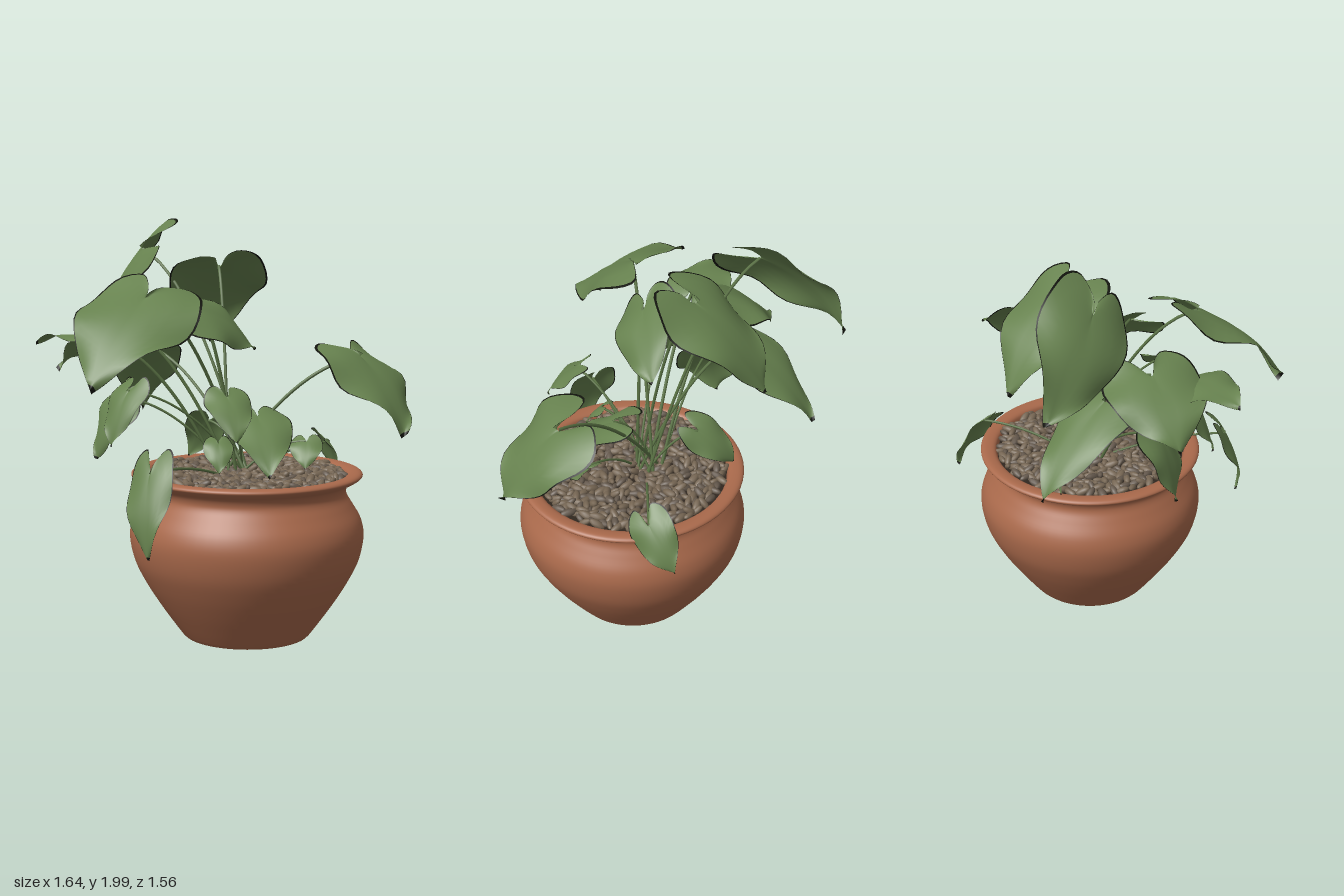
import * as THREE from 'three';
import { mergeGeometries, mergeVertices } from 'three/addons/utils/BufferGeometryUtils.js';

const CX = 0.105, CZ = 0.22; // pot axis
const vec2 = ([x, y]) => new THREE.Vector2(x, y);

function seeded(seed) {
  let s = seed;
  return () => {
    s = (s * 16807) % 2147483647;
    return s / 2147483647;
  };
}

// Half outline of a heart-shaped leaf: x across (0..1), y along (stalk 0, tip 1)
const outline = new THREE.SplineCurve([
  [0.03, 0], [0.14, -0.17], [0.42, -0.31], [0.78, -0.2], [0.99, 0.06],
  [0.92, 0.36], [0.62, 0.64], [0.26, 0.86], [0, 1],
].map(vec2));

// Blade: grid ruled from the midrib out to the outline, then arched and waved.
// Its width lies level unless rolled about the midrib. Group 1 is the dry margin.
function leafGeometry(at, tip, half, roll, phase) {
  const T = tip.clone().sub(at), len = T.length();
  T.normalize();
  const L = new THREE.Vector3(T.z, 0, -T.x).normalize().applyAxisAngle(T, roll);
  const N = new THREE.Vector3().crossVectors(T, L);
  const rows = 26, cols = 6, pos = [], blade = [], margin = [];
  for (let k = 0; k <= rows; k++) {
    const mid = k / rows, o = outline.getPoint(mid);
    for (let j = -cols; j <= cols; j++) {
      const f = Math.abs(j) === cols ? 1 : Math.abs(j) / (cols - 1) * 0.97;
      const s = Math.sign(j) * f * o.x, t = mid + (o.y - mid) * f;
      const h = len * 0.35 * t * (1 - t) + half * (0.1 * Math.abs(s) - 0.3 * s * s
        + 0.1 * f * f * Math.sin(9 * t + phase + (j < 0 ? 2 : 0)));
      const p = at.clone().addScaledVector(T, t * len)
        .addScaledVector(L, s * half).addScaledVector(N, h);
      pos.push(p.x, p.y, p.z);
    }
  }
  const w = cols * 2 + 1;
  for (let k = 0; k < rows; k++) {
    for (let j = 0; j < w - 1; j++) {
      const a = k * w + j, b = a + w;
      const outer = j === 0 || j === w - 2 || k === rows - 1;
      (outer ? margin : blade).push(a, b, a + 1, a + 1, b, b + 1);
    }
  }
  const g = new THREE.BufferGeometry();
  g.setAttribute('position', new THREE.Float32BufferAttribute(pos, 3));
  g.setIndex([...blade, ...margin]);
  g.addGroup(0, blade.length, 0);
  g.addGroup(blade.length, margin.length, 1);
  g.computeVertexNormals();
  return g;
}

// Each leaf: stalk point, tip, half width, roll
const tallLeaves = [
  [[-0.19, 1.84, -0.36], [-0.165, 1.48, -0.775], 0.23, -0.92],
  [[0.1, 1.76, -0.09], [0.21, 1.37, -0.43], 0.24],
  [[-0.4, 1.5, -0.18], [-0.63, 1.25, -0.38], 0.24, 0.06],
  [[-0.21, 1.37, -0.28], [-0.08, 1.0, -0.65], 0.18],
  [[-0.53, 1.43, -0.02], [-0.82, 1.42, -0.15], 0.16, 0.1],
  [[-0.43, 1.64, 0.27], [-0.79, 1.26, 0.5], 0.28, -0.25],
  [[-0.13, 1.57, 0.18], [0.2, 1.36, 0.1], 0.18, 0.7],
  [[0.57, 1.35, 0.48], [0.66, 1.0, 0.74], 0.26, -0.12],
];
const lowLeaves = [
  [[0.63, 0.88, 0.07], [0.72, 0.67, -0.06], 0.11, 0.95],
  [[-0.51, 0.87, 0.5], [-0.56, 0.5, 0.59], 0.12, 0.5],
  [[-0.41, 1.14, -0.1], [-0.52, 0.84, -0.15], 0.16, -0.49],
  [[-0.47, 1.2, 0.14], [-0.57, 0.95, 0.18], 0.11],
  [[0.12, 1.07, 0.3], [0.06, 0.82, 0.56], 0.16],
  [[-0.14, 1.2, 0.52], [-0.16, 1.01, 0.67], 0.11],
  [[0.33, 0.95, 0.4], [0.28, 0.83, 0.48], 0.08],
  [[-0.13, 0.97, 0.4], [-0.16, 0.84, 0.48], 0.07],
  [[0.05, 1.0, -0.1], [0.02, 0.8, -0.28], 0.1, 0.8],
];

export function createModel() {
  const root = new THREE.Group();
  root.name = 'pottedPlant';
  const mat = (name, color, side = THREE.FrontSide) => {
    const m = new THREE.MeshStandardMaterial({ color, side });
    m.name = name;
    return m;
  };
  const terracotta = mat('terracotta', 0xa9694b, THREE.DoubleSide);
  const leafGreen = mat('leafGreen', 0x67824f, THREE.DoubleSide);
  const dryMargin = mat('dryMargin', 0x12140d, THREE.DoubleSide);
  const stemGreen = mat('stemGreen', 0x5a7244);
  const pebbleBrown = mat('pebbleBrown', 0x766653);
  const pebbleGrey = mat('pebbleGrey', 0x64584c);
  const soilBrown = mat('soilBrown', 0x30271f);
  const add = (name, geo, material, parent = root) => {
    const m = new THREE.Mesh(geo, material);
    m.name = name;
    parent.add(m);
    return m;
  };

  // Pot: shallow underside recess, foot, belly, neck, rolled rim and inner wall
  const foot = [[0, 0.018], [0.27, 0.018], [0.288, 0], [0.3, 0]].map(vec2);
  const wall = new THREE.SplineCurve([
    [0.312, 0.012], [0.355, 0.07], [0.425, 0.17], [0.49, 0.275], [0.54, 0.38], [0.561, 0.49],
    [0.547, 0.57], [0.507, 0.64], [0.48, 0.685], [0.475, 0.715], [0.49, 0.745],
    [0.525, 0.762], [0.552, 0.782], [0.545, 0.797], [0.52, 0.802], [0.485, 0.795],
    [0.47, 0.77], [0.46, 0.7],
  ].map(vec2)).getPoints(80);
  add('pot', new THREE.LatheGeometry([...foot, ...wall], 72), terracotta).position.set(CX, 0, CZ);

  // Soil and a bed of long pebbles on a sunflower spiral, in two tones
  const soil = new THREE.CircleGeometry(0.475, 48).rotateX(-Math.PI / 2);
  add('soil', soil, soilBrown).position.set(CX, 0.765, CZ);
  const rnd = seeded(77), brown = [], grey = [], count = 540;
  const base = new THREE.IcosahedronGeometry(1, 1);
  base.deleteAttribute('normal');
  base.deleteAttribute('uv');
  const stone = mergeVertices(base);
  stone.computeVertexNormals();
  for (let i = 0; i < count; i++) {
    const r = 0.46 * Math.sqrt((i + 0.5) / count), a = i * 2.39996;
    const size = 0.8 + rnd() * 0.5;
    const turn = new THREE.Quaternion().setFromEuler(
      new THREE.Euler((rnd() - 0.5) * 0.9, rnd() * Math.PI * 2, (rnd() - 0.5) * 0.9));
    (i % 3 ? brown : grey).push(stone.clone().applyMatrix4(new THREE.Matrix4().compose(
      new THREE.Vector3(CX + r * Math.cos(a), 0.777 + rnd() * 0.018, CZ + r * Math.sin(a)),
      turn, new THREE.Vector3(0.034 * size, 0.015 * size, 0.016 * size))));
  }
  add('brownPebbles', mergeGeometries(brown), pebbleBrown);
  add('greyPebbles', mergeGeometries(grey), pebbleGrey);

  // Leaves, each on an arching stalk rising from the middle of the pot
  const addLeaf = (name, i, stalkRadius, [at, tip, half, roll = 0]) => {
    const leaf = new THREE.Group();
    leaf.name = name + (i + 1);
    root.add(leaf);
    const p = new THREE.Vector3(...at);
    const blade = leafGeometry(p, new THREE.Vector3(...tip), half, roll, i * 1.7);
    add('blade', blade, [leafGreen, dryMargin], leaf);
    const a = i * 2.4;
    const start = new THREE.Vector3(0.08 + 0.07 * Math.cos(a), 0.76, 0.14 + 0.06 * Math.sin(a));
    const bend = start.clone().lerp(p, 0.5);
    bend.y = start.y + (p.y - start.y) * 0.85 + 0.03;
    const path = new THREE.QuadraticBezierCurve3(start, bend, p);
    add('stalk', new THREE.TubeGeometry(path, 20, stalkRadius, 6), stemGreen, leaf);
  };
  tallLeaves.forEach((leaf, i) => addLeaf('tallLeaf', i, 0.008, leaf));
  lowLeaves.forEach((leaf, i) => addLeaf('lowLeaf', i, 0.006, leaf));
  return root;
}
